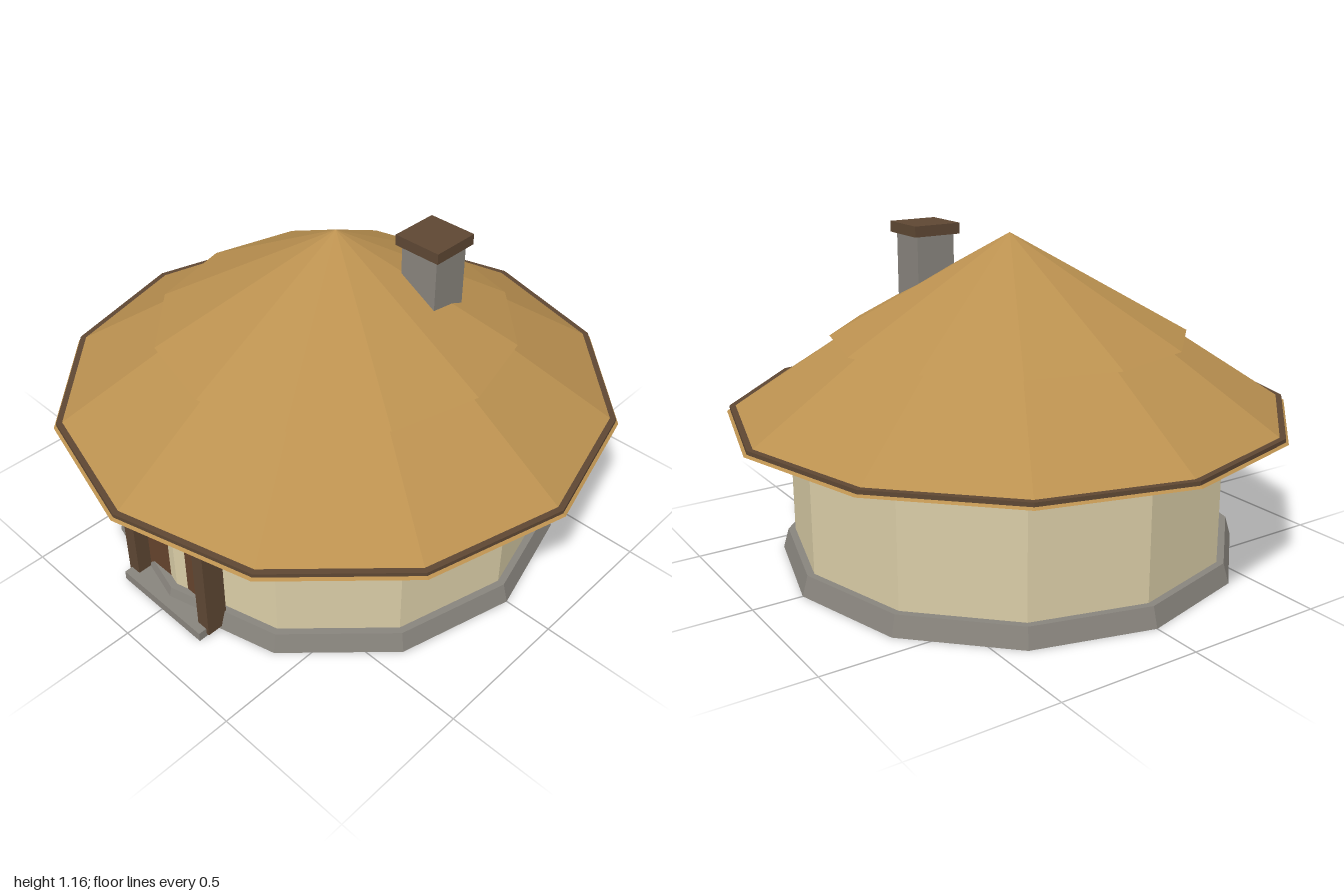
import * as THREE from 'three';

const SIDES = 12;

function material(name, color) {
  const m = new THREE.MeshStandardMaterial({ color });
  m.name = name;
  m.flatShading = true;
  return m;
}

export function createModel() {
  const model = new THREE.Group();
  model.name = 'roundHut';

  const plaster = material('plaster', 0xd9cca6);
  const thatch = material('thatch', 0xbb9150);
  const stone = material('stone', 0x88847d);
  const timber = material('timber', 0x5e4733);
  const doorWood = material('doorWood', 0x65432c);

  const add = (name, geometry, mat) => {
    const mesh = new THREE.Mesh(geometry, mat);
    mesh.name = name;
    model.add(mesh);
  };

  // Twelve-sided drum between two heights, a corner facing the front
  const drum = (name, mat, rBottom, rTop, y0, y1) => {
    const g = new THREE.CylinderGeometry(rTop, rBottom, y1 - y0, SIDES);
    g.translate(0, (y0 + y1) / 2, 0);
    add(name, g, mat);
  };

  // Box given by its limits on each axis
  const box = (name, mat, [x0, x1], [y0, y1], [z0, z1]) => {
    const g = new THREE.BoxGeometry(x1 - x0, y1 - y0, z1 - z0);
    g.translate((x0 + x1) / 2, (y0 + y1) / 2, (z0 + z1) / 2);
    add(name, g, mat);
  };

  // Plinth and wall
  drum('plinth', stone, 0.825, 0.805, 0, 0.07);
  drum('wall', plaster, 0.78, 0.78, 0.01, 0.53);

  // Two-tier roof with a timber eave band
  drum('lowerRoof', thatch, 0.995, 0.55, 0.521, 0.81);
  drum('eaveBand', timber, 0.985, 0.985, 0.52, 0.541);
  drum('upperRoof', thatch, 0.627, 0, 0.787, 1.14);

  // Doorway: leaf, posts, lintel and step
  box('door', doorWood, [-0.165, 0.165], [0.03, 0.49], [0.72, 0.768]);
  for (const side of [-1, 1]) {
    const xs = [side * 0.185 - 0.026, side * 0.185 + 0.026];
    box(side > 0 ? 'leftPost' : 'rightPost', timber, xs, [0.012, 0.49], [0.742, 0.822]);
  }
  box('lintel', timber, [-0.24, 0.24], [0.485, 0.516], [0.742, 0.848]);
  box('step', stone, [-0.2, 0.2], [0.001, 0.036], [0.74, 0.853]);

  // Chimney and its cap
  box('chimney', stone, [0.198, 0.344], [0.78, 1.125], [-0.25, -0.105]);
  box('chimneyCap', timber, [0.182, 0.36], [1.12, 1.158], [-0.267, -0.089]);

  return model;
}
